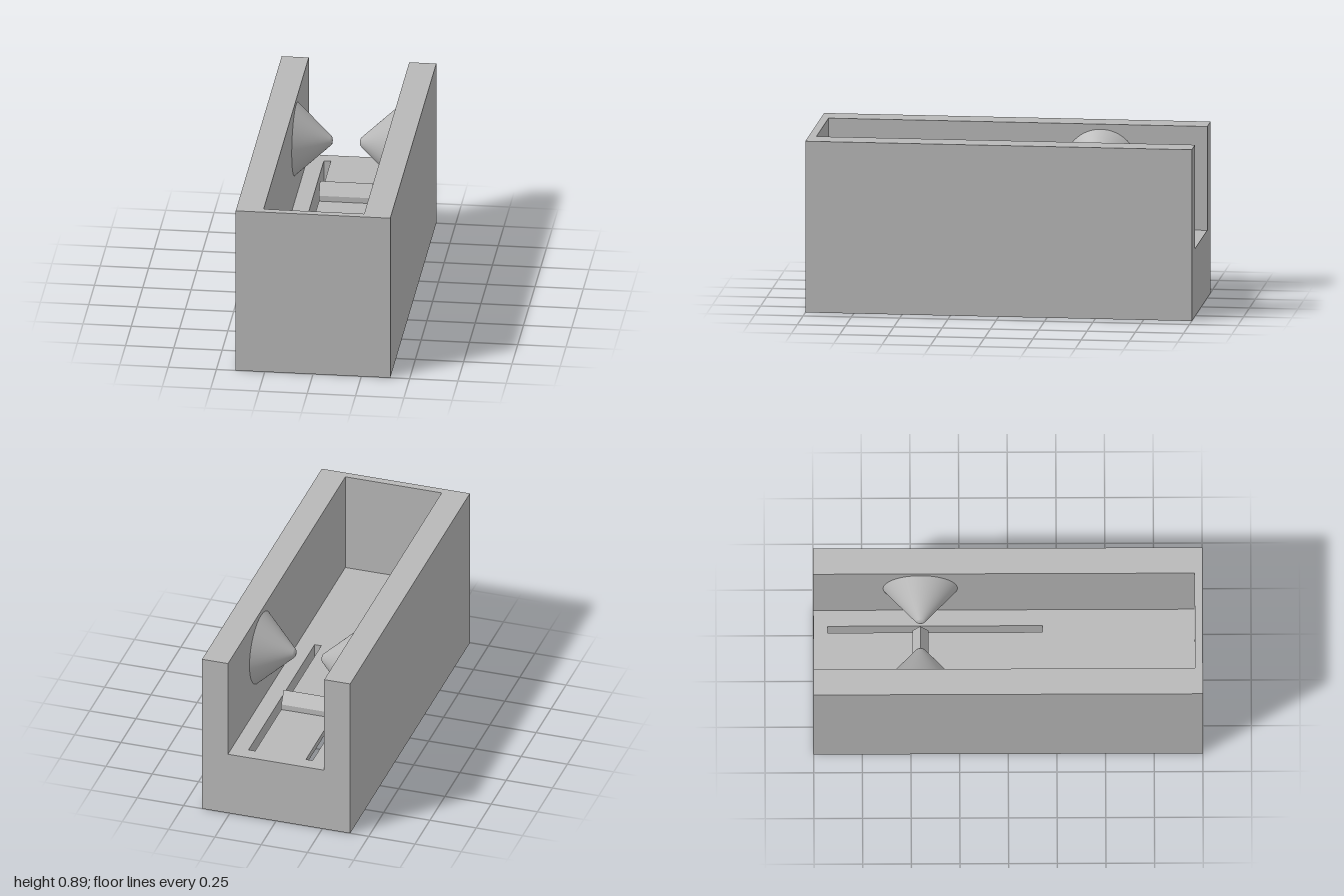
import * as THREE from 'three';

const HALF_W = 0.4, HALF_L = 1, HEIGHT = 0.895;
const CHANNEL = 0.26, FLOOR = 0.352, CEILING = 0.32;
const SLOT_OUT = 0.173, SLOT_IN = 0.137, SLOT_BACK = -0.926, SLOT_FRONT = 0.178;
const PIN_Z = -0.45, PIN_Y = 0.677;

// Closed outline from [x, z] corners, drawn in plan
function outline(points, Type = THREE.Shape) {
  return new Type(points.map(([x, z]) => new THREE.Vector2(x, -z)));
}

function rect(x0, x1, z0, z1, Type) {
  return outline([[x0, z1], [x1, z1], [x1, z0], [x0, z0]], Type);
}

// Plan shape raised from y0 to y1
function slab(shape, y0, y1) {
  return new THREE.ExtrudeGeometry(shape, { depth: y1 - y0, bevelEnabled: false })
    .rotateX(-Math.PI / 2).translate(0, y0, 0);
}

export function createModel() {
  const group = new THREE.Group();
  const grey = new THREE.MeshStandardMaterial({ color: 0xb8b8b8 });
  grey.name = 'grey';
  const add = (name, geometry) => {
    const mesh = new THREE.Mesh(geometry, grey);
    mesh.name = name;
    group.add(mesh);
    return mesh;
  };

  // Base with the pocket open underneath
  const base = rect(-HALF_W, HALF_W, -HALF_L, HALF_L);
  base.holes.push(rect(-SLOT_OUT, SLOT_OUT, SLOT_BACK, SLOT_FRONT, THREE.Path));
  add('base', slab(base, 0, CEILING));

  // Thin channel floor with two long slots
  const floor = rect(-HALF_W, HALF_W, -HALF_L, HALF_L);
  floor.holes.push(
    rect(-SLOT_OUT, -SLOT_IN, SLOT_BACK, SLOT_FRONT, THREE.Path),
    rect(SLOT_IN, SLOT_OUT, SLOT_BACK, SLOT_FRONT, THREE.Path));
  add('channelFloor', slab(floor, CEILING, FLOOR));

  // Side walls and front wall, open at the back
  add('walls', slab(outline([
    [-HALF_W, HALF_L], [HALF_W, HALF_L], [HALF_W, -HALF_L], [CHANNEL, -HALF_L],
    [CHANNEL, 0.96], [-CHANNEL, 0.96], [-CHANNEL, -HALF_L], [-HALF_W, -HALF_L],
  ]), FLOOR, HEIGHT));

  // Ridge on the tongue between the slots
  const profile = new THREE.Shape([
    [-0.041, 0], [0.041, 0], [0.041, 0.03], [0, 0.095], [-0.041, 0.03],
  ].map(([z, y]) => new THREE.Vector2(z, y)));
  add('ridge', new THREE.ExtrudeGeometry(profile, { depth: 2 * SLOT_IN, bevelEnabled: false })
    .translate(0, 0, -SLOT_IN).rotateY(Math.PI / 2).translate(0, FLOOR, PIN_Z));

  // Facing cones with small blunt tips
  for (const side of [1, -1]) {
    const cone = new THREE.LatheGeometry(
      [[0.191, 0], [0.026, 0.18]].map(([r, h]) => new THREE.Vector2(r, h)), 64);
    const tip = new THREE.LatheGeometry(
      [[0.026, 0.18], [0.018, 0.187], [0, 0.19]].map(([r, h]) => new THREE.Vector2(r, h)), 64);
    for (const [name, geometry] of [['cone', cone], ['coneTip', tip]]) {
      geometry.rotateZ(side * Math.PI / 2).translate(side * CHANNEL, PIN_Y, PIN_Z);
      add((side > 0 ? 'left' : 'right') + name[0].toUpperCase() + name.slice(1), geometry);
    }
  }
  return group;
}
